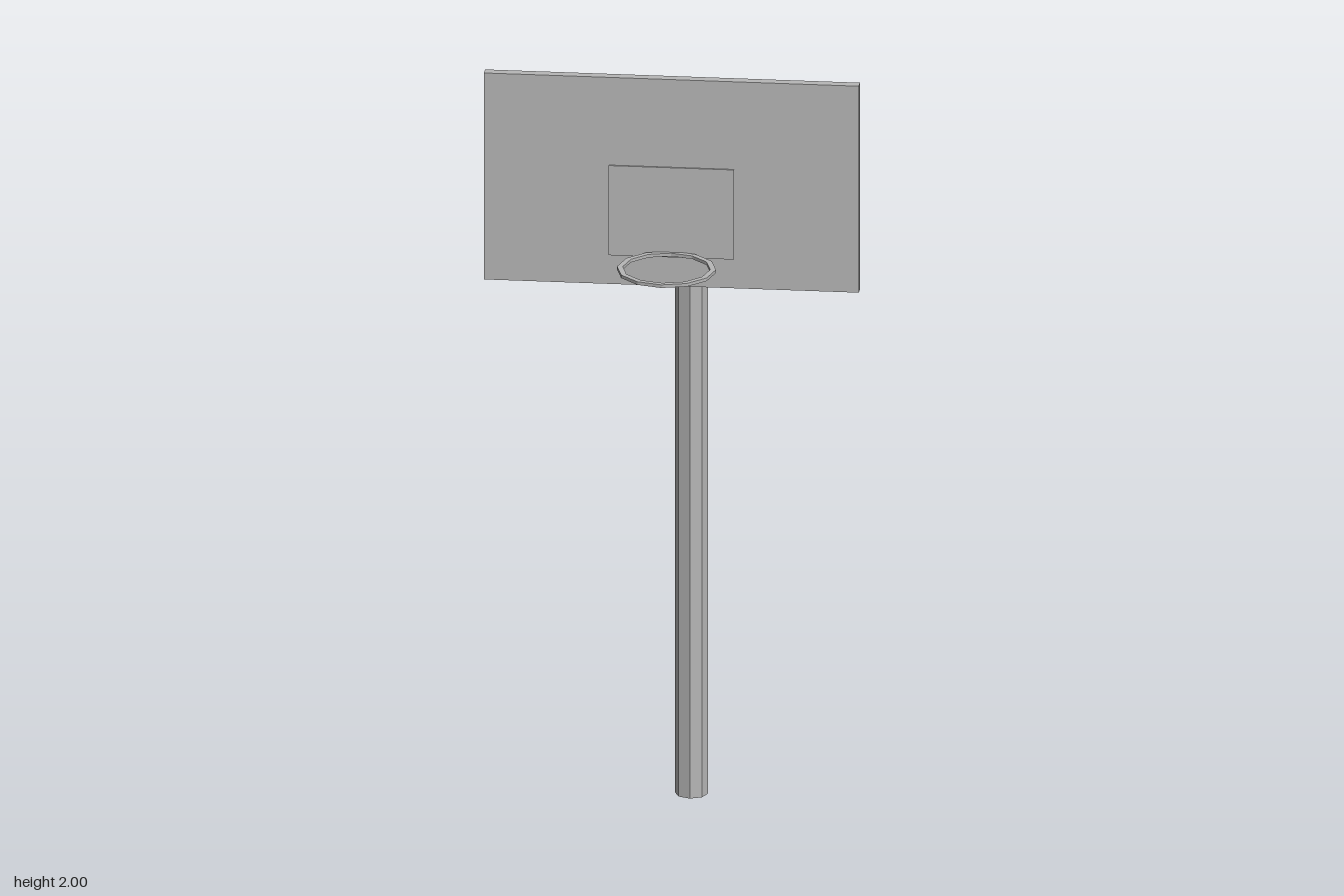
import * as THREE from 'three';

export function createModel() {
  const group = new THREE.Group();
  group.name = 'basketballHoop';
  const grey = new THREE.MeshStandardMaterial({ color: 0xb8b8b8, flatShading: true });
  grey.name = 'grey';

  const add = (name, geometry, x, y, z) => {
    const mesh = new THREE.Mesh(geometry, grey);
    mesh.name = name;
    mesh.position.set(x, y, z);
    group.add(mesh);
    return mesh;
  };

  // Octagonal upright
  const poleZ = -0.332;
  add('pole', new THREE.CylinderGeometry(0.04, 0.04, 1.62, 8), 0, 0.81, poleZ);

  // Hexagonal arm, rising slightly from the pole towards the board
  const start = new THREE.Vector3(0, 1.573, poleZ);
  const end = new THREE.Vector3(0, 1.598, 0.1);
  const dir = end.clone().sub(start);
  const mid = start.clone().add(end).multiplyScalar(0.5);
  const arm = add('arm', new THREE.CylinderGeometry(0.024, 0.024, dir.length(), 6), 0, mid.y, mid.z);
  arm.rotation.x = Math.atan2(dir.z, dir.y);

  // Backboard with a thin raised target plate
  add('backboard', new THREE.BoxGeometry(0.91, 0.53, 0.025), 0, 1.735, 0.1235);
  add('targetPlate', new THREE.BoxGeometry(0.304, 0.23, 0.004), 0, 1.66, 0.138);

  // Twelve-sided rim with a flat rectangular section
  const outer = 0.12, inner = 0.106, half = 0.004;
  const section = [[outer, -half], [outer, half], [inner, half], [inner, -half], [outer, -half]]
    .map(([r, y]) => new THREE.Vector2(r, y));
  add('rim', new THREE.LatheGeometry(section, 12), 0, 1.554, 0.252);

  return group;
}
